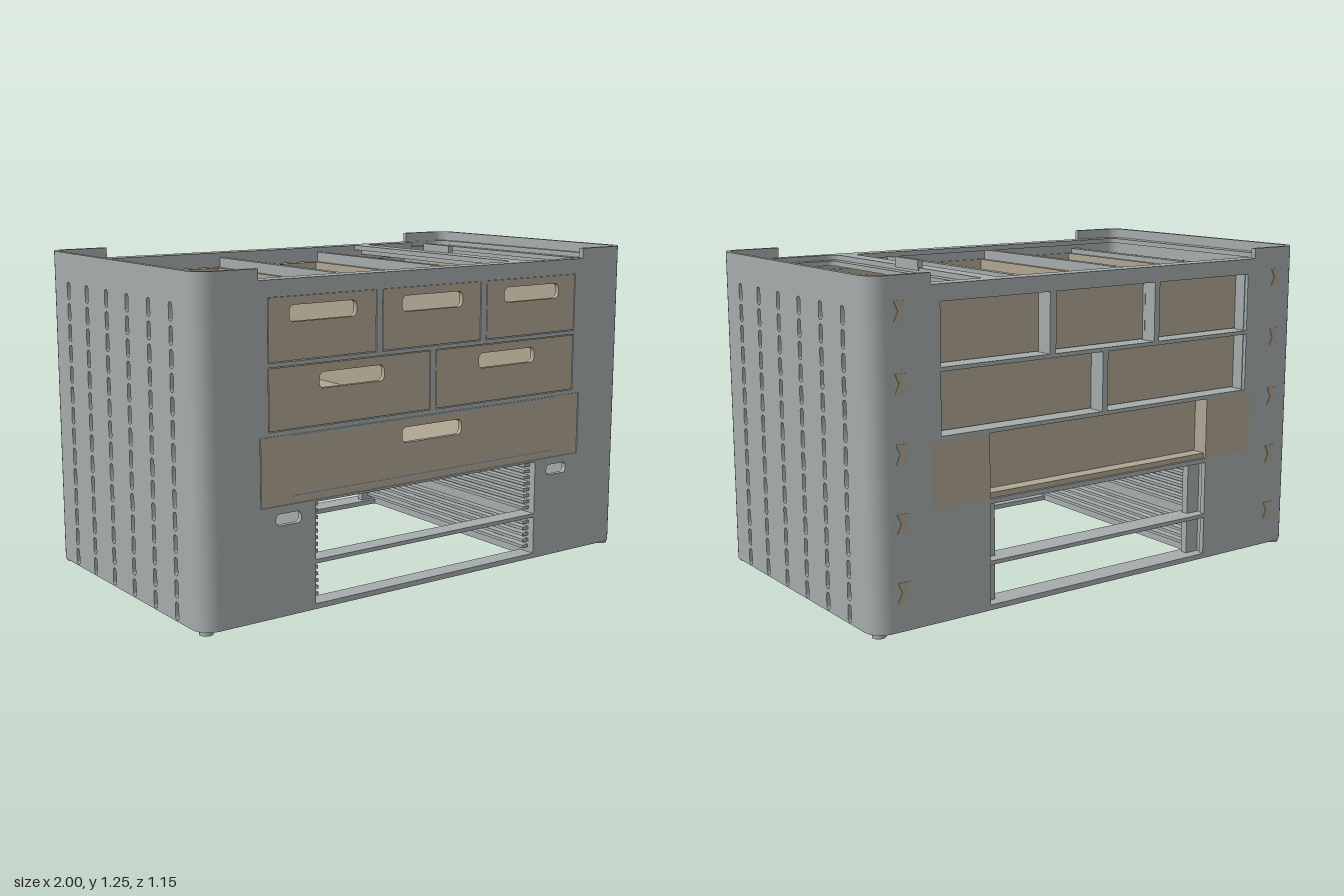
import * as THREE from 'three';
import { toCreasedNormals } from 'three/addons/utils/BufferGeometryUtils.js';

export function createModel() {
  const model = new THREE.Group();
  const gray = new THREE.MeshStandardMaterial({ color: 0xa5acab });
  gray.name = 'gray shell';
  const tan = new THREE.MeshStandardMaterial({ color: 0xb0a592 });
  tan.name = 'tan drawers';

  const add = (name, geo, mat, parent = model) => {
    const m = new THREE.Mesh(geo, mat);
    m.name = name;
    parent.add(m);
    return m;
  };
  // Box given by its limits on each axis
  const box = (name, mat, x0, x1, y0, y1, z0, z1, parent) => {
    const g = new THREE.BoxGeometry(x1 - x0, y1 - y0, z1 - z0);
    g.translate((x0 + x1) / 2, (y0 + y1) / 2, (z0 + z1) / 2);
    return add(name, g, mat, parent);
  };
  // Rounded rectangle given by its limits
  const rect = (x0, x1, y0, y1, r = 0, Type = THREE.Path) => {
    const p = new Type();
    if (!r) {
      p.moveTo(x0, y0).lineTo(x1, y0).lineTo(x1, y1).lineTo(x0, y1).closePath();
      return p;
    }
    p.absarc(x1 - r, y0 + r, r, -Math.PI / 2, 0);
    p.absarc(x1 - r, y1 - r, r, 0, Math.PI / 2);
    p.absarc(x0 + r, y1 - r, r, Math.PI / 2, Math.PI);
    p.absarc(x0 + r, y0 + r, r, Math.PI, Math.PI * 1.5);
    p.closePath();
    return p;
  };
  const slot = (cx, cy, w, h, r = h * 0.35) =>
    rect(cx - w / 2, cx + w / 2, cy - h / 2, cy + h / 2, r);
  const extrude = (shape, depth, holes = [], curveSegments = 6) => {
    shape.holes.push(...holes);
    const g = new THREE.ExtrudeGeometry(shape, { depth, bevelEnabled: false, curveSegments });
    return toCreasedNormals(g, 0.6);
  };
  // Upright panel facing z, from z0 to z1
  const panel = (name, mat, x0, x1, y0, y1, z0, z1, holes, parent) =>
    add(name, extrude(rect(x0, x1, y0, y1, 0, THREE.Shape), z1 - z0, holes).translate(0, 0, z0), mat, parent);
  // Lying plate, drawn in x and z, from y0 to y1
  const plate = (name, mat, shape, y0, y1, holes) =>
    add(name, extrude(shape, y1 - y0, holes).rotateX(Math.PI / 2).translate(0, y1, 0), mat);

  const BASE = 0.015, TOP = 1.21, RIM = 1.25, D = 0.575, R = 0.07, W = 0.02;

  for (const s of [-1, 1]) {
    // Side wall pierced by a grid of slots
    const holes = [];
    for (const z of [-0.4, -0.243, -0.081, 0.081, 0.243, 0.4])
      for (let i = 0; i < 14; i++) holes.push(slot(z, 1.106 - i * 0.081, 0.024, 0.066, 0.0115));
    const wall = extrude(rect(R - D, D - R, BASE, RIM, 0, THREE.Shape), W, holes, 4);
    add('sideWall', wall.rotateY(Math.PI / 2).translate(s > 0 ? 1 - W : -1, 0, 0), gray);

    for (const t of [-1, 1]) {
      // Rounded corner that wraps onto the front and back
      const pts = [new THREE.Vector2(0.76 * s, D * t)];
      const arc = (r) => [...Array(9)].map((_, i) => {
        const a = (i / 8) * Math.PI / 2;
        return new THREE.Vector2(s * (1 - R + r * Math.sin(a)), t * (D - R + r * Math.cos(a)));
      });
      pts.push(...arc(R), ...arc(R - W).reverse(), new THREE.Vector2(0.76 * s, (D - W) * t));
      plate('cornerWall', gray, new THREE.Shape(pts), BASE, RIM);

      // Corner bracket with its peg, bottom strip and foot
      const xs = (a, b) => (s > 0 ? [a, b] : [-b, -a]);
      const zs = (a, b) => (t > 0 ? [a, b] : [-b, -a]);
      box('cornerBracket', gray, ...xs(0.755, 0.88), BASE, 1.12, ...zs(0.32, 0.48));
      const peg = new THREE.CylinderGeometry(0.03, 0.03, 0.02, 3);
      peg.rotateY(s > 0 ? -Math.PI / 2 : Math.PI / 2).translate(0.78 * s, 1.13, 0.42 * t);
      add('bracketPeg', peg, gray);
      box('bottomStrip', gray, ...xs(0.755, 0.95), BASE, 0.035, ...zs(0.475, 0.56));
      const foot = new THREE.CylinderGeometry(0.025, 0.025, 0.03, 20);
      add('foot', foot.translate(0.96 * s, 0.015, 0.533 * t), gray);
    }

    // Inner partitions, above and below the wide drawer
    const xs = (a, b) => (s > 0 ? [a, b] : [-b, -a]);
    box('upperPartition', gray, ...xs(0.722, 0.758), 0.67, 1.17, -0.56, 0.556);
    box('lowerPartition', gray, ...xs(0.722, 0.758), BASE, 0.42, -0.56, 0.556);

    // Rack wall with ribs that run front to back
    box('rackWall', gray, ...xs(0.53, 0.545), BASE, 0.42, -0.56, 0.556);
    for (let i = 0; i < 13; i++) {
      const y = i < 8 ? 0.395 - i * 0.025 : 0.16 - (i - 8) * 0.025;
      box('rackRib', gray, ...xs(0.5, 0.535), y - 0.006, y + 0.006, -0.5, 0.545);
    }
    box('rearRackPost', gray, ...xs(0.47, 0.54), BASE, 0.42, -0.53, -0.5);
    box('bottomPlate', gray, ...xs(0.53, 0.757), BASE, 0.035, -0.56, 0.56);
    // Rear cheeks of the wide drawer
    box('drawerCheek', tan, ...xs(0.52, 0.76), 0.43, 0.67, -D, -0.5);

    // Bow-tie keys let into the back
    for (let i = 0; i < 5; i++) {
      const y = 1.13 - i * 0.243;
      const key = new THREE.Shape([[-0.025, -0.035], [0.025, -0.035], [0.009, 0], [0.025, 0.035],
        [-0.025, 0.035], [-0.009, 0]].map(([a, b]) => new THREE.Vector2(0.88 * s + a, y + b)));
      add('backKey', extrude(key, 0.004).translate(0, 0, -D - 0.002), tan);
    }
  }

  // Top frame with a large opening and a stepped tray opening
  plate('topFrame', gray, rect(-0.985, 0.985, -0.56, 0.56, 0.055, THREE.Shape), 1.19, TOP,
    [rect(-0.93, 0.44, -0.52, 0.51, 0.03), rect(0.51, 0.96, -0.55, 0.535, 0.05)]);
  plate('trayLedge', gray, rect(0.47, 0.98, -0.558, 0.558, 0.05, THREE.Shape), 1.17, 1.189,
    [rect(0.54, 0.935, -0.52, 0.51, 0.03)]);
  box('topStop', gray, 0.495, 0.515, 1.2, 1.24, -0.1, 0.065);

  // Front and back frames around the upper drawers
  const rowOne = [[-0.725, -0.262], [-0.237, 0.23], [0.258, 0.722]];
  const rowTwo = [[-0.725, -0.013], [0.012, 0.722]];
  const openings = () => [
    ...rowOne.map(([a, b]) => rect(a, b, 0.925, 1.15)),
    ...rowTwo.map(([a, b]) => rect(a, b, 0.685, 0.91)),
  ];
  panel('frontFrame', gray, -0.76, 0.76, 0.67, TOP, D - W, D, openings());
  panel('backFrame', gray, -0.76, 0.76, 0.67, TOP, -D, -0.51, openings());

  // Lower frames around the open rack
  const rack = (w) => [rect(-w, w, 0.2, 0.412), rect(-w, w, 0.035, 0.185)];
  const grips = [slot(-0.645, 0.37, 0.105, 0.042), slot(0.645, 0.37, 0.105, 0.042)];
  panel('lowerFrontFrame', gray, -0.76, 0.76, BASE, 0.42, D - W, D, [...rack(0.53), ...grips]);
  panel('lowerBackFrame', gray, -0.76, 0.76, BASE, 0.43, -D, W - D, rack(0.52));
  for (const [z0, z1] of [[0.5, 0.56], [-0.56, -0.48]]) {
    box('bottomRail', gray, -0.535, 0.535, BASE, 0.035, z0, z1);
    box('middleRail', gray, -0.535, 0.535, 0.185, 0.2, z0, z1);
  }

  // Shelves and dividers between the drawers
  box('upperShelf', gray, -0.725, 0.725, 0.91, 0.925, -0.52, 0.556);
  box('lowerShelf', gray, -0.755, 0.755, 0.67, 0.685, -0.52, 0.556);
  for (const x of [-0.25, 0.244]) box('upperDivider', gray, x - 0.014, x + 0.014, 0.92, 1.19, -0.52, 0.556);
  box('lowerDivider', gray, -0.013, 0.012, 0.68, 0.915, -0.52, 0.556);

  // Open-topped drawer with a grip slot in its front
  const drawer = (name, x0, x1, y0, y1, grip) => {
    const g = new THREE.Group();
    g.name = name;
    model.add(g);
    const cx = (x0 + x1) / 2, t = 0.018, back = -0.51;
    panel('drawerFront', tan, x0, x1, y0, y1, D - W, D - 0.001, [slot(cx, grip, 0.285, 0.058, 0.02)], g);
    box('drawerBack', tan, x0, x1, y0, y1, back, back + t, g);
    box('drawerFloor', tan, x0, x1, y0, y0 + t, back + t, D - W, g);
    box('drawerSide', tan, x0, x0 + t, y0 + t, y1, back + t, D - W, g);
    box('drawerSide', tan, x1 - t, x1, y0 + t, y1, back + t, D - W, g);
  };
  for (const [a, b] of rowOne) drawer('smallDrawer', a + 0.003, b - 0.003, 0.928, 1.149, 1.09);
  for (const [a, b] of rowTwo) drawer('mediumDrawer', a + 0.003, b - 0.003, 0.688, 0.907, 0.847);
  drawer('wideDrawer', -0.757, 0.757, 0.421, 0.669, 0.604);
  box('wideDrawerLedge', tan, -0.52, 0.52, 0.43, 0.45, -0.565, -0.5);

  // Thin runner strips on the wide drawer front
  for (const y of [0.445, 0.661]) box('runnerStrip', gray, -0.625, 0.625, y - 0.004, y + 0.004, D - 0.005, D + 0.001);

  return model;
}
